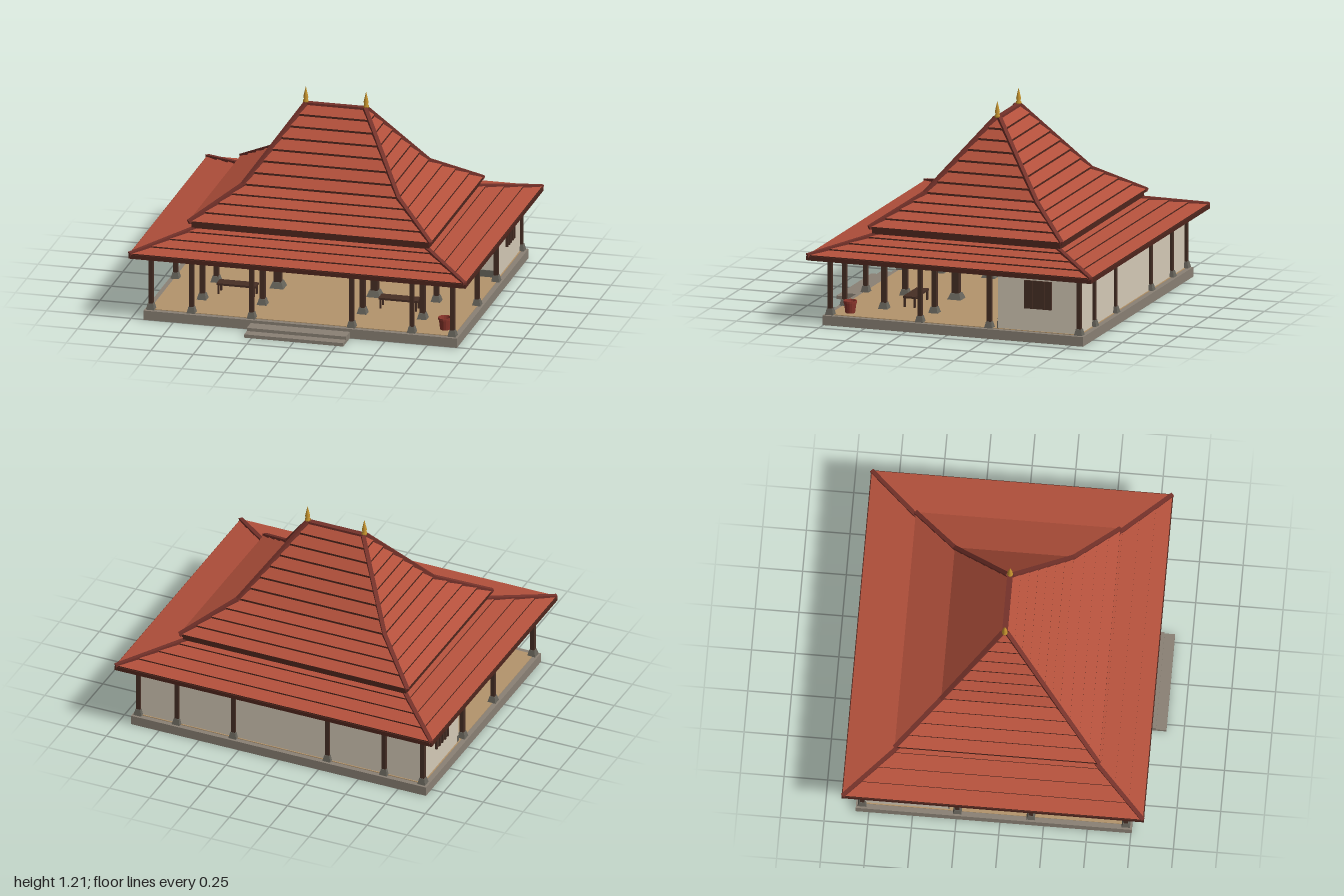
import * as THREE from 'three';

const mat = (name, color, side = THREE.FrontSide) => {
  const m = new THREE.MeshStandardMaterial({ color, side });
  m.name = name;
  return m;
};

export function createModel() {
  const M = {
    stone: mat('stone', 0x8a8175),
    floor: mat('floor tile', 0xb3946c),
    plaster: mat('plaster', 0xd6cbb8),
    footing: mat('footing stone', 0x67645b),
    wood: mat('dark wood', 0x472f25),
    tile: mat('roof tile', 0xb4513c, THREE.DoubleSide),
    ridge: mat('ridge tile', 0x75322a),
    trim: mat('dark trim', 0x4f261d, THREE.DoubleSide),
    gold: mat('gold', 0xcb9830),
    clay: mat('clay', 0x8a352b),
  };
  const model = new THREE.Group();
  model.name = 'pavilion';
  const house = new THREE.Group();
  house.name = 'house';
  house.position.z = -0.035; // the steps shift the house backwards
  model.add(house);

  const add = (name, geo, m, x = 0, y = 0, z = 0, parent = house) => {
    const mesh = new THREE.Mesh(geo, m);
    mesh.name = name;
    mesh.position.set(x, y, z);
    parent.add(mesh);
    return mesh;
  };
  // Box given by its bottom and top heights
  const box = (name, m, w, d, y0, y1, x = 0, z = 0, parent = house) =>
    add(name, new THREE.BoxGeometry(w, y1 - y0, d), m, x, (y0 + y1) / 2, z, parent);

  // Plinth, floor and steps
  box('plinth', M.stone, 1.85, 1.58, 0, 0.056);
  box('floor', M.floor, 1.79, 1.52, 0.055, 0.06);
  box('lowerStep', M.stone, 0.585, 0.15, 0, 0.02, 0, 0.86);
  box('upperStep', M.stone, 0.585, 0.1, 0.02, 0.039, 0, 0.825);

  // Columns on tapered footings
  const column = (x, z, w) => {
    const g = new THREE.Group();
    g.name = 'column';
    g.position.set(x, 0, z);
    house.add(g);
    const foot = new THREE.CylinderGeometry(w * 0.9, w * 1.4, 0.036, 4).toNonIndexed();
    foot.rotateY(Math.PI / 4);
    foot.computeVertexNormals();
    add('footing', foot, M.footing, 0, 0.077, 0, g);
    box('shaft', M.wood, w, w, 0.09, 0.39, 0, 0, g);
  };
  for (const s of [-1, 1]) {
    for (const z of [-0.755, 0.755]) for (const x of [0.89, 0.65, 0.295]) column(s * x, z, 0.025);
    for (const z of [-0.21, 0.21]) {
      column(s * 0.89, z, 0.025);
      column(s * 0.285, z, 0.042);
    }
    for (const x of [0.65, 0.295]) column(s * x, 0.515, 0.029);
    column(s * 0.65, 0.21, 0.029);
    column(s * 0.65, -0.21, 0.029);
  }

  // Window: a panel with raised bars, facing +z before turning
  const windowAt = (x, z, turn) => {
    const g = new THREE.Group();
    g.name = 'window';
    g.position.set(x, 0, z);
    g.rotation.y = turn;
    house.add(g);
    box('windowPanel', M.wood, 0.165, 0.008, 0.19, 0.355, 0, 0.004, g);
    for (let i = 0; i < 5; i++)
      box('windowBar', M.wood, 0.012, 0.008, 0.19, 0.355, (i - 2) * 0.038, 0.011, g);
  };

  // Enclosed back room
  const wallZ = -0.27;
  box('backWall', M.plaster, 1.77, 0.016, 0.058, 0.39, 0, -0.745);
  for (const s of [-1, 1]) {
    box('sideWall', M.plaster, 0.016, 0.48, 0.058, 0.39, s * 0.88, -0.51);
    box('frontWall', M.plaster, 0.43, 0.016, 0.058, 0.39, s * 0.673, wallZ);
    box('wallBase', M.footing, 0.43, 0.024, 0.058, 0.1, s * 0.673, wallZ + 0.002);
    windowAt(s * 0.663, wallZ + 0.008, 0);
    windowAt(s * 0.888, -0.505, s * Math.PI / 2);
    box('doorHandle', M.gold, 0.007, 0.008, 0.19, 0.22, s * 0.009, wallZ + 0.016);
  }
  box('woodScreen', M.wood, 0.92, 0.024, 0.058, 0.39, 0, wallZ);

  // Row of gold diamonds above the doors
  for (let i = 0; i < 12; i++)
    add('diamond', new THREE.BoxGeometry(0.03, 0.03, 0.008), M.gold,
      (i - 5.5) * 0.0755, 0.36, wallZ + 0.016).rotation.z = Math.PI / 4;

  // Benches
  for (const s of [-1, 1]) {
    const g = new THREE.Group();
    g.name = 'bench';
    g.position.set(s * 0.478, 0, 0.385);
    house.add(g);
    box('benchSeat', M.wood, 0.23, 0.075, 0.114, 0.126, 0, 0, g);
    for (const x of [-0.105, 0.105]) for (const z of [-0.03, 0.03])
      box('benchLeg', M.wood, 0.01, 0.01, 0.058, 0.115, x, z, g);
  }

  // Clay pot
  const pot = [[0, 0], [0.028, 0], [0.036, 0.06], [0.04, 0.06], [0.04, 0.072], [0.033, 0.072], [0.028, 0.05], [0, 0.05]];
  const potGeo = new THREE.LatheGeometry(pot.map(p => new THREE.Vector2(...p)), 14).toNonIndexed();
  potGeo.computeVertexNormals();
  add('pot', potGeo, M.clay, 0.82, 0.06, 0.66);

  // Four sloping faces between two rectangles [halfX, y, halfZ]
  const skirt = (name, m, a, b) => {
    const ring = ([x, y, z]) => [[-x, y, z], [x, y, z], [x, y, -z], [-x, y, -z]];
    const p = ring(a), q = ring(b), v = [];
    for (let i = 0; i < 4; i++) {
      const j = (i + 1) % 4;
      v.push(...p[i], ...p[j], ...q[j], ...p[i], ...q[j], ...q[i]);
    }
    const geo = new THREE.BufferGeometry();
    geo.setAttribute('position', new THREE.Float32BufferAttribute(v, 3));
    geo.computeVertexNormals();
    add(name, geo, m);
  };

  // Roof tier: stepped tile courses with dark risers and hip ridges
  const tier = (a, b, courses, riser) => {
    const at = t => a.map((v, k) => v + (b[k] - v) * t);
    for (let i = 0; i < courses; i++) {
      const lo = at(i / courses), hi = at((i + 1) / courses);
      const lip = [lo[0], lo[1] + riser, lo[2]];
      skirt('courseEdge', M.trim, lo, lip);
      skirt('tileCourse', M.tile, lip, hi);
    }
    for (const sx of [-1, 1]) for (const sz of [-1, 1]) {
      const p = new THREE.Vector3(sx * a[0], a[1] + 0.004, sz * a[2]);
      const q = new THREE.Vector3(sx * b[0], b[1] + 0.004, sz * b[2]);
      const hip = add('hipRidge', new THREE.BoxGeometry(0.024, 0.022, p.distanceTo(q)), M.ridge);
      hip.position.copy(p).lerp(q, 0.5);
      hip.lookAt(q.clone().add(house.position));
    }
  };

  // Three roof tiers with eave boards and a dark ceiling
  box('ceiling', M.wood, 1.96, 1.7, 0.385, 0.391);
  box('eaveBoard', M.trim, 1.99, 1.73, 0.39, 0.414);
  tier([0.99, 0.412, 0.86], [0.64, 0.505, 0.51], 4, 0.008);
  box('middleEaveBoard', M.trim, 1.4, 1.14, 0.502, 0.532);
  box('middleEaveLip', M.trim, 1.43, 1.17, 0.53, 0.538);
  tier([0.715, 0.537, 0.585], [0.46, 0.702, 0.34], 4, 0.01);
  tier([0.46, 0.702, 0.34], [0.175, 1.108, 0.012], 7, 0.012);

  // Ridge and finials
  box('topRidge', M.ridge, 0.36, 0.032, 1.098, 1.118);
  const finial = [[0, 0], [0.017, 0], [0.017, 0.012], [0.011, 0.02], [0.015, 0.034], [0.008, 0.065], [0, 0.098]];
  for (const s of [-1, 1]) {
    const geo = new THREE.LatheGeometry(finial.map(p => new THREE.Vector2(...p)), 8);
    add('finial', geo, M.gold, s * 0.178, 1.114, 0);
  }
  return model;
}
